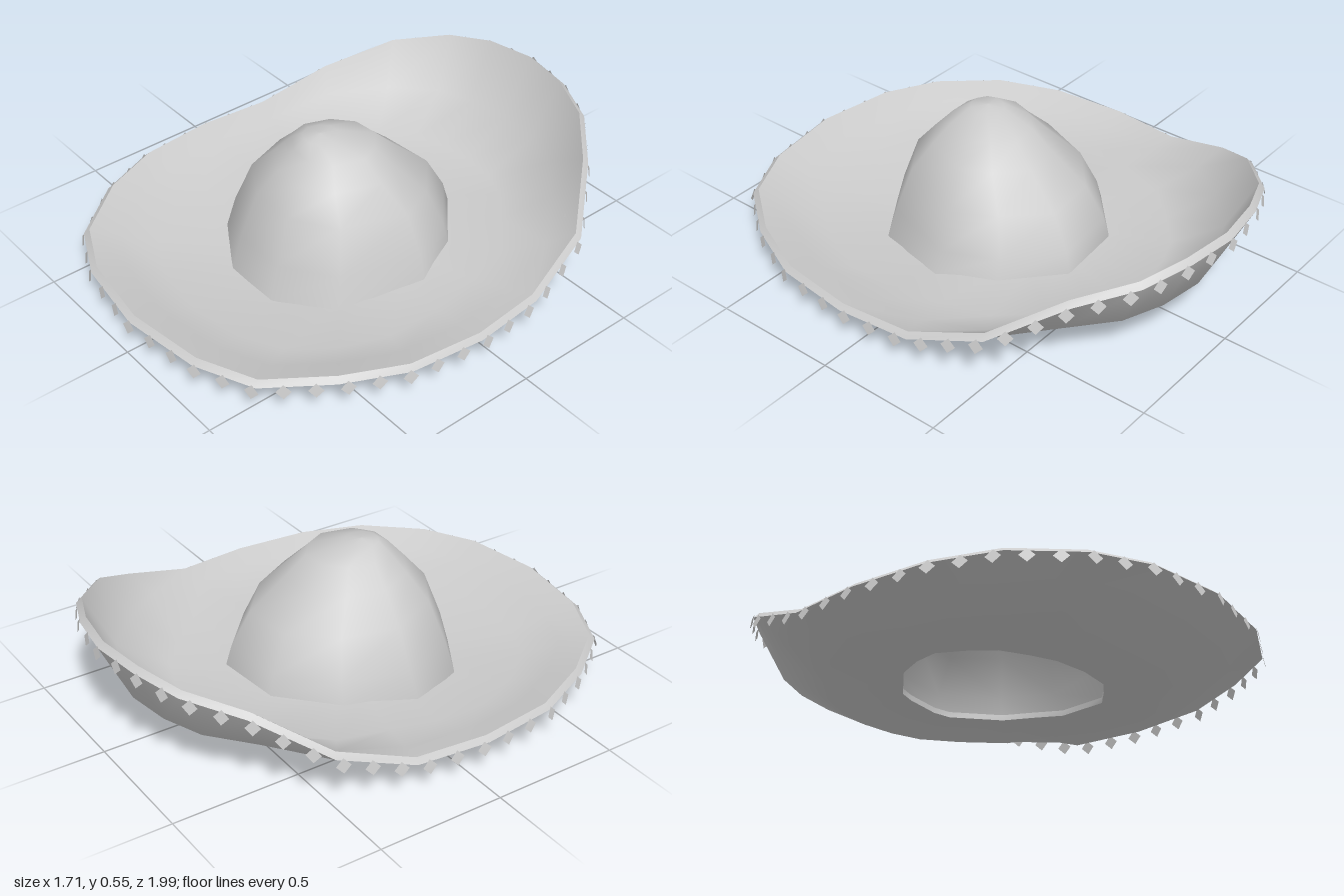
import * as THREE from 'three';

const material = new THREE.MeshStandardMaterial({ color: 0xcccccc, side: THREE.DoubleSide });
const V = (x, y, z) => new THREE.Vector3(x, y, z);

// Half of the brim edge, front to back: x, y, z
const half = [
  [0, 0.155, 0.98], [0.32, 0.152, 0.935], [0.54, 0.145, 0.83], [0.71, 0.155, 0.61],
  [0.815, 0.145, 0.37], [0.848, 0.14, 0.07], [0.82, 0.142, -0.22], [0.75, 0.238, -0.51],
  [0.56, 0.372, -0.73], [0.38, 0.42, -0.89], [0.2, 0.448, -0.96], [0, 0.455, -0.99],
].map(p => V(...p));
const edge = [...half, ...half.slice(1, -1).reverse().map(p => V(-p.x, p.y, p.z))];

// Ten-sided base of the crown: x, z
const base = [
  [0.13, 0.455], [0.34, 0.31], [0.44, -0.02], [0.34, -0.23], [0.14, -0.41],
  [-0.14, -0.385], [-0.34, -0.2], [-0.43, 0.07], [-0.33, 0.32], [-0.11, 0.455],
];

// Underside height near the crown: the front dips lower
const floorY = z => Math.max(0.005, 0.07 - 0.13 * Math.max(0, z + 0.1));

// Distance from the centre to the crown base in direction (dx, dz)
function baseRadius(dx, dz) {
  for (let i = 0; i < base.length; i++) {
    const [ax, az] = base[i], [bx, bz] = base[(i + 1) % base.length];
    const ex = bx - ax, ez = bz - az, det = dx * ez - dz * ex;
    const r = (ax * ez - az * ex) / det, t = (ax * dz - az * dx) / det;
    if (r > 0 && t >= -1e-6 && t <= 1 + 1e-6) return r;
  }
  return 0.4;
}

// Smooth surface through closed rings of points
function skin(name, rings) {
  const n = rings[0].length, index = [];
  for (let r = 0; r < rings.length - 1; r++) {
    for (let c = 0; c < n; c++) {
      const d = (c + 1) % n, a = r * n + c, b = a + n, e = r * n + d, f = e + n;
      index.push(a, b, e, e, b, f);
    }
  }
  const geometry = new THREE.BufferGeometry().setFromPoints(rings.flat());
  geometry.setIndex(index);
  geometry.computeVertexNormals();
  const mesh = new THREE.Mesh(geometry, material);
  mesh.name = name;
  return mesh;
}

function createBrim() {
  const brim = new THREE.Group();
  brim.name = 'brim';

  // Rings of the underside, from the head opening to the edge
  const hole = edge.map(p => {
    const l = Math.hypot(p.x, p.z), r = 0.9 * baseRadius(p.x / l, p.z / l) / l;
    return V(p.x * r, floorY(p.z * r), p.z * r);
  });
  const bowl = edge.map(p => {
    const f = 0.7 + 0.035 * p.z;
    return V(p.x * f, Math.max(0.035, floorY(p.z * f)), p.z * f);
  });
  const rise = edge.map((p, i) => {
    const k = 0.6 - 0.27 * Math.min(1, Math.max(0, (p.y - 0.15) / 0.3));
    return V(p.x * 0.88, THREE.MathUtils.lerp(bowl[i].y, p.y - 0.025, k), p.z * 0.88);
  });
  const rim = edge.map(p => V(p.x, p.y - 0.02, p.z));

  // Upper side follows the underside at the felt's thickness
  const lift = (ring, s) => ring.map(p => V(p.x * s, p.y + 0.022, p.z * s));
  const lip = edge.map(p => V(p.x * 0.977, p.y, p.z * 0.977));
  const holeTop = lift(hole, 1);

  brim.add(
    skin('brimTop', [holeTop, lift(bowl, 0.99), lift(rise, 0.98), lip]),
    skin('brimUnderside', [rim, rise, bowl, hole]),
    skin('brimEdge', [lip, rim]),
    skin('headOpening', [hole, holeTop]),
  );
  return brim;
}

function createCrown() {
  // Scale of the base outline, height, back-to-front tilt, centre x and z
  const levels = [
    [0, 0.55, 0, -0.015, 0.1],
    [0.15, 0.543, 0, -0.015, 0.1],
    [0.36, 0.507, 0.03, 0.01, 0.055],
    [0.53, 0.43, 0.04, 0.01, 0.045],
    [0.77, 0.325, 0.07, 0.005, 0.015],
    [0.93, 0.17, 0, 0, 0.01],
  ];
  const rings = levels.map(([s, y, tilt, cx, cz]) =>
    base.map(([x, z]) => V(cx + x * s, y + tilt * z * s, cz + (z - 0.02) * s)));
  rings.push(base.map(([x, z]) => V(x, floorY(z) + 0.02, z)));
  return skin('crown', rings);
}

// Small diamonds hanging all round the edge
function createTrim() {
  const trim = new THREE.Group();
  trim.name = 'diamondTrim';
  const shape = new THREE.CircleGeometry(0.028, 4);
  const path = new THREE.CurvePath();
  edge.forEach((p, i) => path.add(new THREE.LineCurve3(p, edge[(i + 1) % edge.length])));
  const count = 54;
  for (let i = 0; i < count; i++) {
    const p = path.getPointAt(i / count), t = path.getTangentAt(i / count);
    const diamond = new THREE.Mesh(shape, material);
    diamond.name = 'diamond';
    diamond.position.set(p.x * 1.006, p.y - 0.038, p.z * 1.006);
    diamond.rotation.set(-0.2, Math.atan2(-t.z, t.x), 0, 'YXZ');
    trim.add(diamond);
  }
  return trim;
}

export function createModel() {
  const hat = new THREE.Group();
  hat.name = 'wideBrimmedHat';
  hat.add(createBrim(), createCrown(), createTrim());
  return hat;
}
